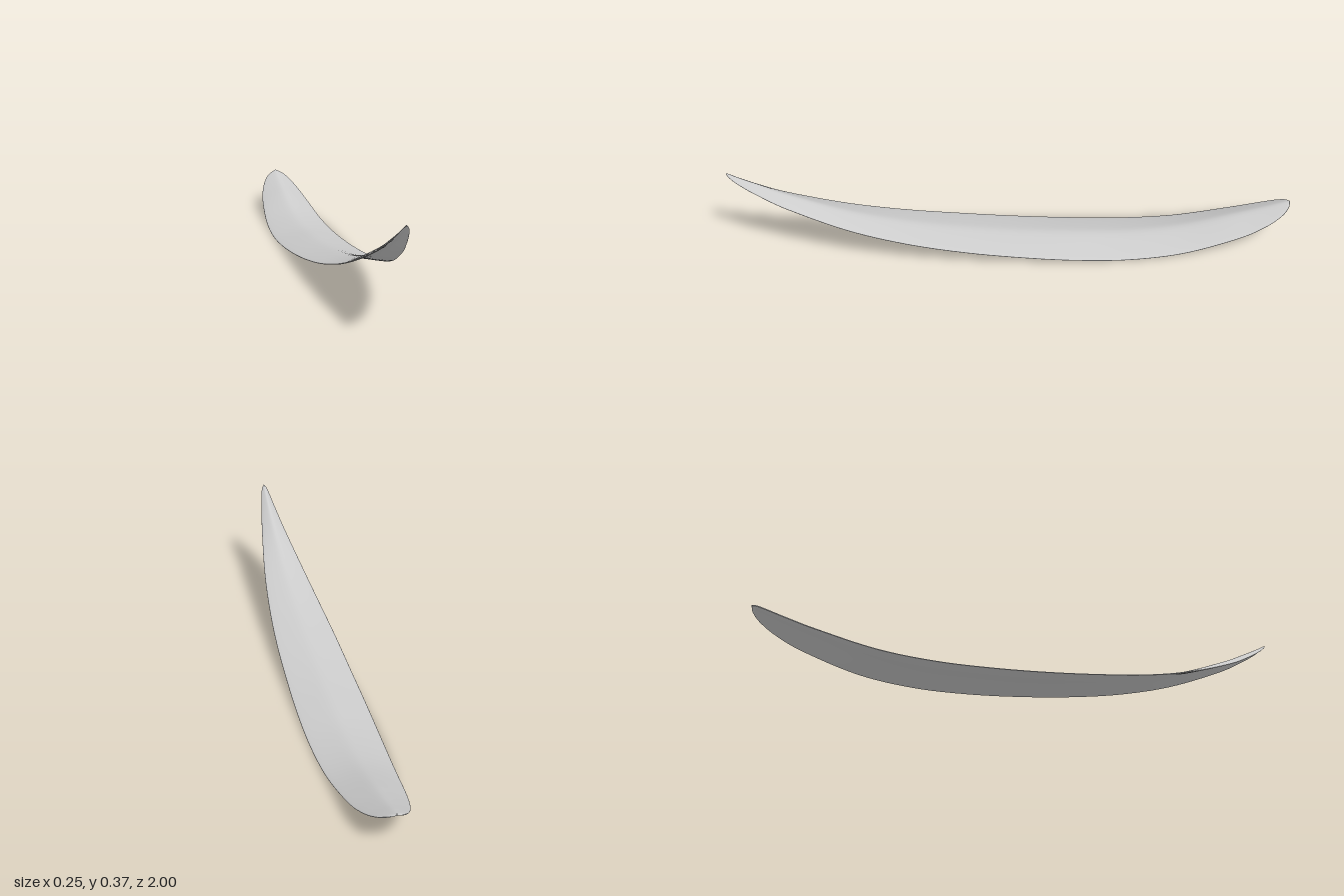
import * as THREE from 'three';

// Stations from front tip to back tip: [z, half width, ridge height, rim height]
const STATIONS = [
  [1, 0, 0.375, 0.372], [0.99, 0.01, 0.37, 0.36], [0.96, 0.019, 0.352, 0.334], [0.9, 0.031, 0.32, 0.294],
  [0.8, 0.049, 0.27, 0.24], [0.6, 0.079, 0.187, 0.159], [0.4, 0.1, 0.13, 0.103],
  [0.2, 0.114, 0.091, 0.064], [0, 0.121, 0.063, 0.034], [-0.2, 0.125, 0.046, 0.012],
  [-0.4, 0.123, 0.036, 0.001], [-0.6, 0.113, 0.05, 0.011], [-0.8, 0.093, 0.094, 0.052],
  [-0.9, 0.073, 0.118, 0.084], [-0.96, 0.05, 0.135, 0.111], [-0.99, 0.025, 0.143, 0.13],
  [-1, 0, 0.146, 0.14],
];
const THICKNESS = 0.01;
const RINGS = 96;
const SIDES = 48;

// Closed thin blade, lofted from rounded, centre-folded cross-sections
function bladeGeometry() {
  const outline = new THREE.CatmullRomCurve3(
    STATIONS.map(([, w, top, low]) => new THREE.Vector3(w, top, low)), false, 'catmullrom', 0.5);
  const spine = new THREE.CatmullRomCurve3(
    STATIONS.map(([z]) => new THREE.Vector3(0, 0, z)), false, 'catmullrom', 0.5);
  const positions = [];
  const indices = [];

  for (let i = 0; i <= RINGS; i++) {
    const { x: width, y: top, z: low } = outline.getPoint(i / RINGS);
    const z = THREE.MathUtils.clamp(spine.getPoint(i / RINGS).z, -1, 1);
    const thick = THICKNESS * Math.min(1, Math.max(0, width) / 0.03);
    const drop = Math.max(0, top - low - 0.7 * thick);
    for (let j = 0; j < SIDES; j++) {
      const a = (j / SIDES) * Math.PI * 2;
      const u = Math.cos(a);
      const s = Math.sin(a);
      // Softly rounded ridge falling away to both rims
      const fold = (Math.sqrt(u * u + 0.02) - Math.sqrt(0.02)) / (Math.sqrt(1.02) - Math.sqrt(0.02));
      const skin = Math.sign(s) * Math.pow(Math.abs(s), 0.7) * thick / 2;
      positions.push(Math.max(0, width) * u, top - thick / 2 - drop * fold + skin, z);
    }
  }
  for (let i = 0; i < RINGS; i++) {
    for (let j = 0; j < SIDES; j++) {
      const k = (j + 1) % SIDES;
      const a = i * SIDES + j, b = i * SIDES + k;
      const c = a + SIDES, d = b + SIDES;
      indices.push(a, c, b, b, c, d);
    }
  }
  const geometry = new THREE.BufferGeometry();
  geometry.setAttribute('position', new THREE.Float32BufferAttribute(positions, 3));
  geometry.setIndex(indices);
  geometry.computeVertexNormals();
  return geometry;
}

export function createModel() {
  const model = new THREE.Group();
  model.name = 'leaf';
  const blade = new THREE.Mesh(bladeGeometry(), new THREE.MeshStandardMaterial({ color: 0xcccccc }));
  blade.name = 'leafBlade';
  model.add(blade);
  return model;
}
